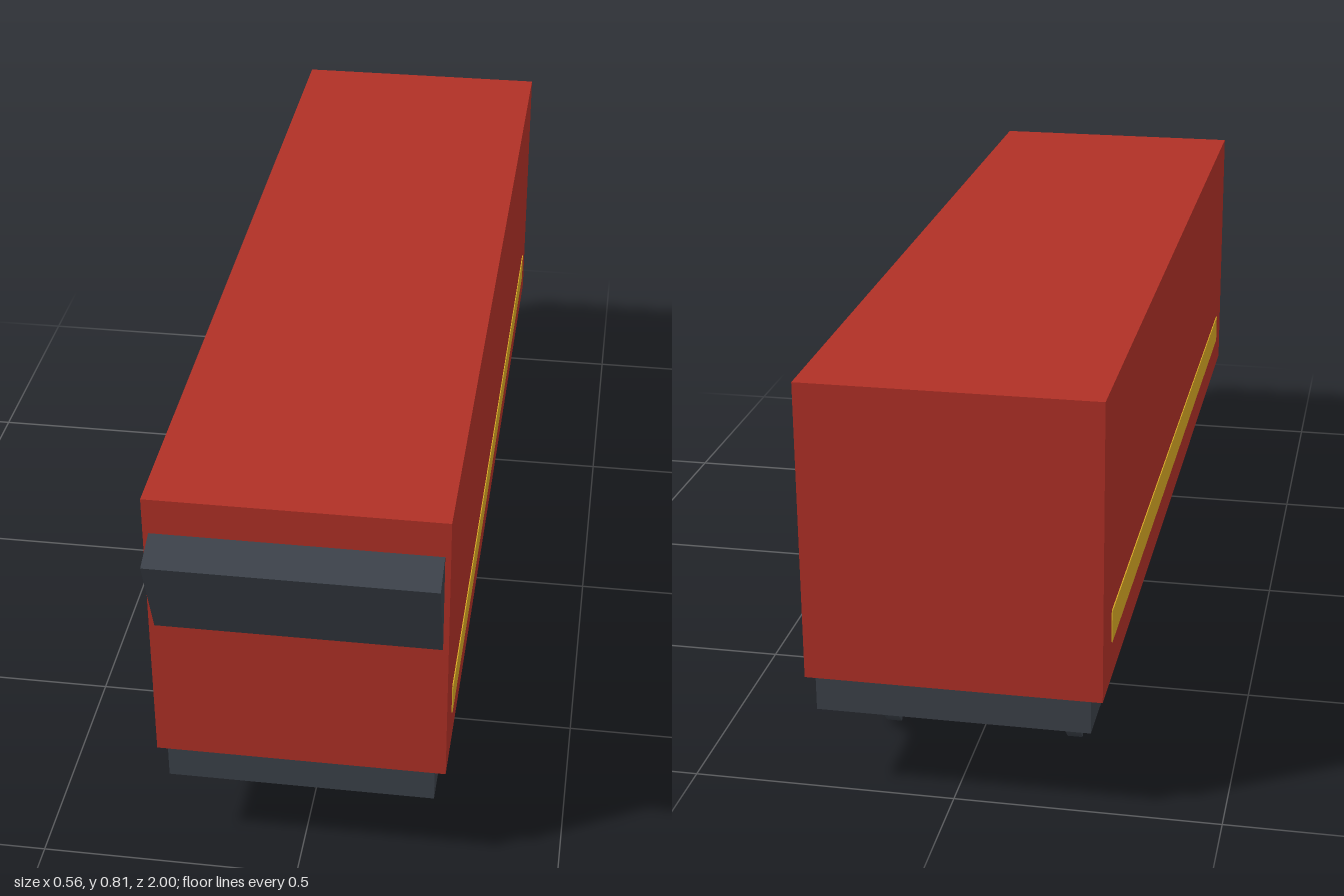
import * as THREE from 'three';

const material = (name, color) => {
  const m = new THREE.MeshStandardMaterial({ color });
  m.name = name;
  return m;
};

export function createModel() {
  const group = new THREE.Group();
  const red = material('red paint', 0xb03026);
  const dark = material('dark grey', 0x3b4149);
  const gold = material('gold stripe', 0xd8a824);

  const add = (name, geometry, mat, x, y, z) => {
    const mesh = new THREE.Mesh(geometry, mat);
    mesh.name = name;
    mesh.position.set(x, y, z);
    group.add(mesh);
    return mesh;
  };

  // Long carriage body on a slightly narrower underframe
  add('body', new THREE.BoxGeometry(0.556, 0.578, 1.93), red, 0, 0.516, -0.035);
  add('underframe', new THREE.BoxGeometry(0.514, 0.064, 1.93), dark, 0, 0.195, -0.035);

  // Windscreen block leaning out over the front
  const windscreen = add('windscreen', new THREE.BoxGeometry(0.535, 0.23, 0.1), dark, 0, 0.616, 0.912);
  windscreen.rotation.x = 0.37;

  // Four-sided wheels standing on a corner, with smooth rims
  const wheel = new THREE.CylinderGeometry(0.088, 0.088, 0.03, 4).rotateZ(Math.PI / 2);
  const stripe = new THREE.BoxGeometry(0.004, 0.064, 1.74);
  for (const [side, s] of [['left', 1], ['right', -1]]) {
    add(side + 'Stripe', stripe, gold, s * 0.278, 0.333, -0.033);
    [0.66, 0.352, -0.42, -0.73].forEach((z, i) =>
      add(side + 'Wheel' + (i + 1), wheel, dark, s * 0.182, 0.088, z));
  }
  return group;
}
